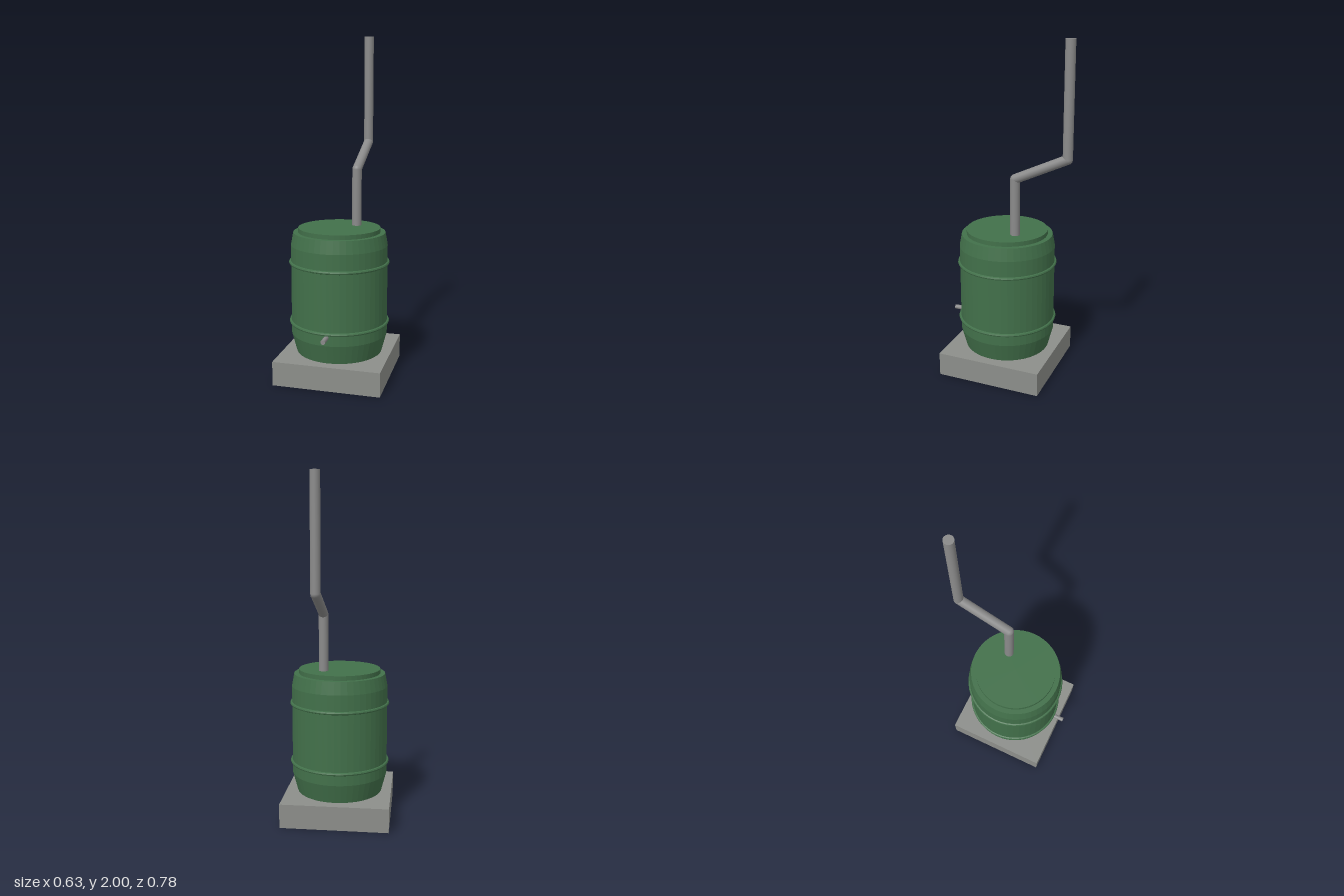
import * as THREE from 'three';

export function createModel() {
  const model = new THREE.Group();
  model.name = 'rainBarrel';

  const material = (name, color, flatShading = false) =>
    new THREE.MeshStandardMaterial({ name, color, flatShading });
  const green = material('barrelGreen', 0x42704a, true);
  const concrete = material('concreteGrey', 0x8c8e8a);
  const metal = material('pipeGrey', 0x8a8a8a);

  const add = (name, geometry, mat, x = 0, y = 0, z = 0) => {
    const mesh = new THREE.Mesh(geometry, mat);
    mesh.name = name;
    mesh.position.set(x, y, z);
    model.add(mesh);
    return mesh;
  };
  const barrelZ = 0.03;

  // Square plinth
  add('plinth', new THREE.BoxGeometry(0.63, 0.142, 0.63), concrete, 0, 0.071, barrelZ);

  // Barrel body, closed at both ends
  const profile = [
    [0, 0.142], [0.255, 0.142], [0.285, 0.255], [0.285, 0.785], [0.271, 0.86], [0, 0.86],
  ].map(([r, y]) => new THREE.Vector2(r, y));
  add('barrelBody', new THREE.LatheGeometry(profile, 48), green, 0, 0, barrelZ);

  // Lid
  add('lid', new THREE.CylinderGeometry(0.242, 0.242, 0.03, 48), green, 0, 0.871, barrelZ);

  // Raised hoops
  for (const [name, y] of [['lowerHoop', 0.325], ['upperHoop', 0.682]]) {
    const hoop = new THREE.TorusGeometry(0.287, 0.01, 8, 48).rotateX(Math.PI / 2);
    add(name, hoop, green, 0, y, barrelZ);
  }

  // Straight tube between two points
  const up = new THREE.Vector3(0, 1, 0);
  const addTube = (name, a, b, radius, sides) => {
    const dir = b.clone().sub(a);
    const tube = add(name, new THREE.CylinderGeometry(radius, radius, dir.length(), sides), metal);
    tube.position.copy(a).add(b).multiplyScalar(0.5);
    tube.quaternion.setFromUnitVectors(up, dir.normalize());
  };

  // Downpipe with two rounded elbows
  const path = [[0.87, -0.054], [1.22, -0.054], [1.36, -0.362], [2, -0.362]]
    .map(([y, z]) => new THREE.Vector3(0.085, y, z));
  ['lowerPipe', 'slantedPipe', 'upperPipe'].forEach((name, i) =>
    addTube(name, path[i], path[i + 1], 0.028, 24));
  for (const i of [1, 2]) {
    add('pipeElbow', new THREE.SphereGeometry(0.028, 24, 16), metal, ...path[i].toArray());
  }

  // Spigot at the front
  addTube('spigot', new THREE.Vector3(0, 0.305, 0.27), new THREE.Vector3(0, 0.305, 0.388), 0.0135, 12);

  return model;
}
